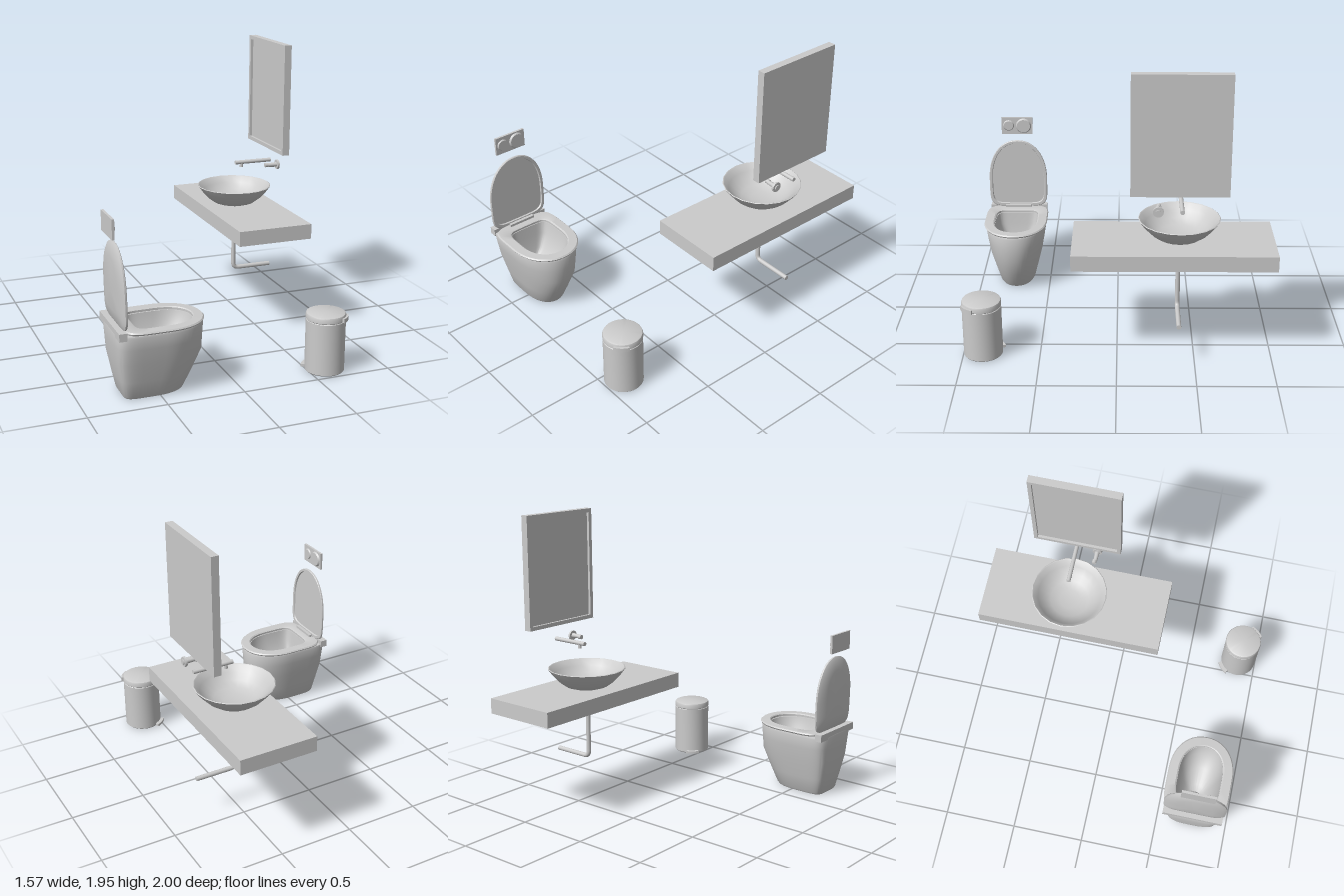
import * as THREE from 'three';
import { toCreasedNormals } from 'three/addons/utils/BufferGeometryUtils.js';

const grey = new THREE.MeshStandardMaterial({ color: 0xcccccc });

function add(parent, name, geometry, x = 0, y = 0, z = 0) {
  const mesh = new THREE.Mesh(geometry, grey);
  mesh.name = name;
  mesh.position.set(x, y, z);
  parent.add(mesh);
  return mesh;
}

// Cylinder lying along x, from x0 to x1
function rod(parent, name, r0, r1, x0, x1, y, z, sides = 20) {
  const g = new THREE.CylinderGeometry(r1, r0, x1 - x0, sides).rotateZ(-Math.PI / 2);
  return add(parent, name, g, (x0 + x1) / 2, y, z);
}

// Smooth lathe that keeps its hard edges
function lathe(points, sides) {
  const g = new THREE.LatheGeometry(points.map(([r, y]) => new THREE.Vector2(r, y)), sides);
  return toCreasedNormals(g, 0.6);
}

// Loft of D-shaped rings [y, xBack, xFront, halfWidth]: square back, elliptical front
function loftD(rings, { closed = false, mid = 0.5, front = 2.15, back = 6, n = 56 } = {}) {
  const pos = [], index = [];
  const pw = (v, e) => Math.sign(v) * Math.pow(Math.abs(v), 2 / e);
  for (const [y, xb, xf, w] of rings) {
    const xm = xb + (xf - xb) * mid;
    for (let k = 0; k < n; k++) {
      const a = (k / n) * Math.PI * 2, c = Math.cos(a), s = Math.sin(a);
      const e = c > 0 ? front : back;
      pos.push(xm + (c > 0 ? xf - xm : xm - xb) * pw(c, e), y, w * pw(s, e));
    }
  }
  const last = closed ? rings.length : rings.length - 1;
  for (let i = 0; i < last; i++) {
    const lo = i * n, hi = ((i + 1) % rings.length) * n;
    for (let k = 0; k < n; k++) {
      const k1 = (k + 1) % n;
      index.push(lo + k, hi + k, lo + k1, hi + k, hi + k1, lo + k1);
    }
  }
  const g = new THREE.BufferGeometry();
  g.setAttribute('position', new THREE.Float32BufferAttribute(pos, 3));
  g.setIndex(index);
  return toCreasedNormals(g, 0.6);
}

// Curved block following a circle, angles in degrees
function arcBlock(r0, r1, a0, a1, height) {
  const s = new THREE.Shape();
  const d = Math.PI / 180;
  s.absarc(0, 0, r1, a0 * d, a1 * d, false);
  s.absarc(0, 0, r0, a1 * d, a0 * d, true);
  return new THREE.ExtrudeGeometry(s, { depth: height, bevelEnabled: false, curveSegments: 8 }).rotateX(Math.PI / 2);
}

function makeToilet() {
  const g = new THREE.Group();
  g.name = 'toilet';
  g.position.z = 0.742;
  // Outer shell, rim and inner basin in one skin
  add(g, 'toiletBowl', loftD([
    [0, -0.55, -0.55, 0],
    [0, -0.72, -0.325, 0.12],
    [0.012, -0.727, -0.315, 0.128],
    [0.12, -0.75, -0.26, 0.155],
    [0.25, -0.775, -0.2, 0.187],
    [0.35, -0.78, -0.196, 0.205],
    [0.43, -0.785, -0.192, 0.216],
    [0.442, -0.782, -0.196, 0.213],
    [0.442, -0.65, -0.258, 0.152],
    [0.36, -0.64, -0.28, 0.138],
    [0.26, -0.625, -0.36, 0.095],
    [0.21, -0.61, -0.47, 0.05],
    [0.195, -0.58, -0.58, 0],
  ]));
  add(g, 'rearLedge', new THREE.BoxGeometry(0.05, 0.05, 0.415), -0.758, 0.445, 0);
  add(g, 'seat', loftD([
    [0.446, -0.735, -0.192, 0.219],
    [0.456, -0.735, -0.187, 0.226],
    [0.464, -0.73, -0.195, 0.219],
    [0.466, -0.66, -0.25, 0.162],
    [0.46, -0.65, -0.256, 0.153],
    [0.446, -0.65, -0.256, 0.153],
  ], { closed: true }));
  add(g, 'hingeBar', new THREE.BoxGeometry(0.022, 0.02, 0.19), -0.708, 0.472, 0);
  // Raised lid: lipped front, domed back, modelled flat and stood upright
  const H = 0.515, W = 0.213;
  const ring = (y, inset) => [y, inset, H - inset, W - inset];
  const lid = add(g, 'lid', loftD([
    [0.01, 0.22, 0.22, 0],
    ring(0.01, 0.024), ring(0, 0.02), ring(0, 0.004),
    ring(0.004, 0), ring(0.014, 0), ring(0.026, 0.022), ring(0.036, 0.09),
    [0.039, 0.22, 0.22, 0],
  ], { mid: 0.42 }), -0.726, 0.463, 0);
  lid.rotation.z = Math.PI / 2 + 0.025;
  return g;
}

function makeFlushPlate() {
  const g = new THREE.Group();
  g.name = 'flushPlate';
  add(g, 'plate', new THREE.BoxGeometry(0.016, 0.127, 0.225), -0.78, 1.082, 0.742);
  rod(g, 'smallButton', 0.04, 0.034, -0.772, -0.764, 1.085, 0.803, 28);
  rod(g, 'largeButton', 0.056, 0.048, -0.772, -0.76, 1.082, 0.694, 28);
  return g;
}

function makeWashstand() {
  const g = new THREE.Group();
  g.name = 'washstand';
  add(g, 'counter', new THREE.BoxGeometry(0.525, 0.103, 1.285), 0.523, 0.737, -0.3575);
  // Shallow vessel basin with a thin rim
  add(g, 'basin', lathe([
    [0, 0.788], [0.1, 0.788], [0.145, 0.803], [0.19, 0.836], [0.23, 0.879], [0.262, 0.923],
    [0.257, 0.926], [0.25, 0.922], [0.22, 0.882], [0.18, 0.843], [0.135, 0.814], [0.07, 0.801], [0, 0.799],
  ], 20), 0.5, 0, -0.395);
  // Drain pipe with a bend towards the wall
  const path = new THREE.CurvePath();
  const v = (x, y) => new THREE.Vector3(x, y, -0.392);
  path.add(new THREE.LineCurve3(v(0.5, 0.69), v(0.5, 0.335)));
  path.add(new THREE.QuadraticBezierCurve3(v(0.5, 0.335), v(0.5, 0.295), v(0.54, 0.295)));
  path.add(new THREE.LineCurve3(v(0.54, 0.295), v(0.785, 0.295)));
  add(g, 'drainPipe', new THREE.TubeGeometry(path, 64, 0.0155, 14));
  rod(g, 'drainPipeEnd', 0.0155, 0.0155, 0.775, 0.785, 0.295, -0.392, 14);
  return g;
}

function makeTap() {
  const g = new THREE.Group();
  g.name = 'wallTap';
  rod(g, 'spout', 0.014, 0.014, 0.51, 0.783, 1.083, -0.398);
  add(g, 'nozzle', new THREE.CylinderGeometry(0.012, 0.012, 0.03, 16), 0.558, 1.063, -0.398);
  rod(g, 'handleFlange', 0.033, 0.033, 0.763, 0.777, 1.082, -0.252, 28);
  rod(g, 'handleStem', 0.013, 0.018, 0.7, 0.785, 1.082, -0.252);
  rod(g, 'handleKnob', 0.015, 0.015, 0.678, 0.702, 1.082, -0.257);
  return g;
}

function makeMirror() {
  const g = new THREE.Group();
  g.name = 'mirror';
  const w = 0.3, h = 0.3825, t = 0.026;
  const rect = (path, x, y) => path.moveTo(-x, -y).lineTo(x, -y).lineTo(x, y).lineTo(-x, y).closePath();
  const frame = rect(new THREE.Shape(), w, h);
  frame.holes.push(rect(new THREE.Path(), w - t, h - t));
  const fg = new THREE.ExtrudeGeometry(frame, { depth: 0.05, bevelEnabled: false }).rotateY(-Math.PI / 2);
  add(g, 'mirrorFrame', fg, 0.782, 1.5675, -0.382);
  add(g, 'mirrorGlass', new THREE.BoxGeometry(0.032, 2 * (h - t), 2 * (w - t)), 0.766, 1.5675, -0.382);
  return g;
}

function makeBin() {
  const g = new THREE.Group();
  g.name = 'pedalBin';
  g.position.set(0.608, 0, 0.871);
  add(g, 'binBody', lathe([[0, 0.004], [0.122, 0.004], [0.127, 0.01], [0.127, 0.35], [0.122, 0.354], [0, 0.354]], 40));
  add(g, 'binLid', lathe([[0, 0.352], [0.122, 0.352], [0.128, 0.358], [0.128, 0.384], [0.124, 0.393], [0.115, 0.397], [0, 0.4]], 40));
  add(g, 'lidGrip', arcBlock(0.12, 0.142, 20, 63, 0.028), 0, 0.382, 0);
  add(g, 'pedal', arcBlock(0.11, 0.152, -150, -112, 0.018), 0, 0.026, 0);
  return g;
}

export function createModel() {
  const model = new THREE.Group();
  model.name = 'bathroomSet';
  model.add(makeToilet(), makeFlushPlate(), makeWashstand(), makeTap(), makeMirror(), makeBin());
  return model;
}
